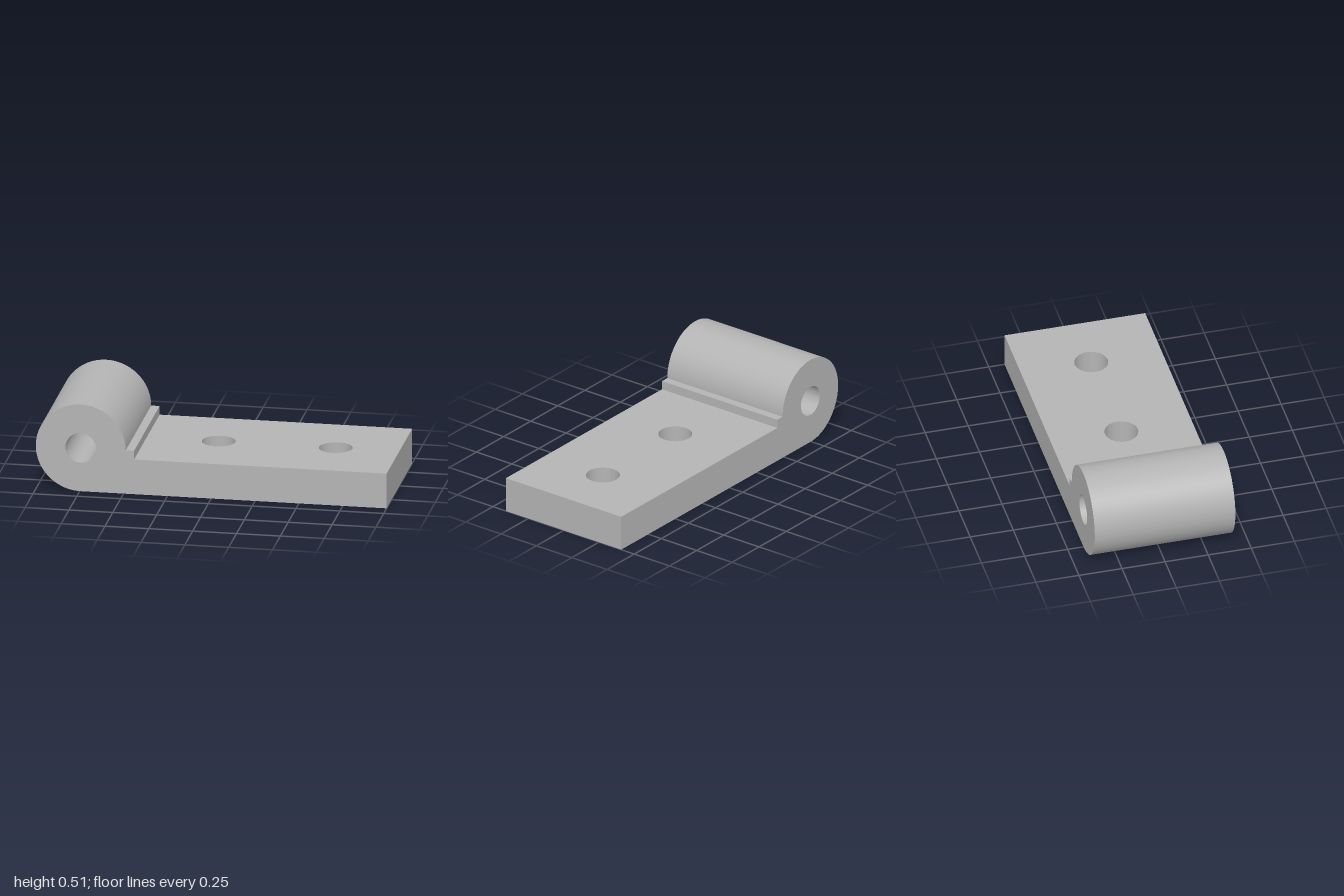
import * as THREE from 'three';
import { toCreasedNormals } from 'three/addons/utils/BufferGeometryUtils.js';

const WIDTH = 0.816;                  // along z
const RADIUS = 0.256, PIN_X = -0.744; // barrel
const STEP_X = -0.44, PLATE_TOP = 0.205;

const steel = new THREE.MeshStandardMaterial({ color: 0xb4b4b4 });
steel.name = 'plainGrey';

function addHole(shape, x, y, r) {
  const hole = new THREE.Path();
  hole.absarc(x, y, r, 0, Math.PI * 2, true);
  shape.holes.push(hole);
}

// Extrude with smooth curves and crisp edges
function extrude(shape, depth) {
  const geometry = new THREE.ExtrudeGeometry(shape, { depth, bevelEnabled: false, curveSegments: 64 });
  return toCreasedNormals(geometry, 0.5);
}

function addPart(group, name, geometry) {
  const mesh = new THREE.Mesh(geometry, steel);
  mesh.name = name;
  group.add(mesh);
}

export function createModel() {
  const group = new THREE.Group();
  group.name = 'hingeLeaf';

  // Barrel with pin bore, flat underside and the small step beside it
  const barrel = new THREE.Shape();
  barrel.moveTo(PIN_X, 0);
  barrel.lineTo(STEP_X, 0);
  barrel.lineTo(STEP_X, RADIUS);
  barrel.lineTo(PIN_X + RADIUS, RADIUS);
  barrel.absarc(PIN_X, RADIUS, RADIUS, 0, Math.PI * 1.5, false);
  addHole(barrel, PIN_X, RADIUS, 0.087);
  addPart(group, 'hingeBarrel', extrude(barrel, WIDTH).translate(0, 0, -WIDTH / 2));

  // Flat leaf with two screw holes
  const plate = new THREE.Shape();
  plate.moveTo(STEP_X, -WIDTH / 2);
  plate.lineTo(1, -WIDTH / 2);
  plate.lineTo(1, WIDTH / 2);
  plate.lineTo(STEP_X, WIDTH / 2);
  plate.closePath();
  for (const x of [-0.03, 0.637]) addHole(plate, x, 0, 0.095);
  addPart(group, 'leafPlate', extrude(plate, PLATE_TOP).rotateX(-Math.PI / 2));

  return group;
}
